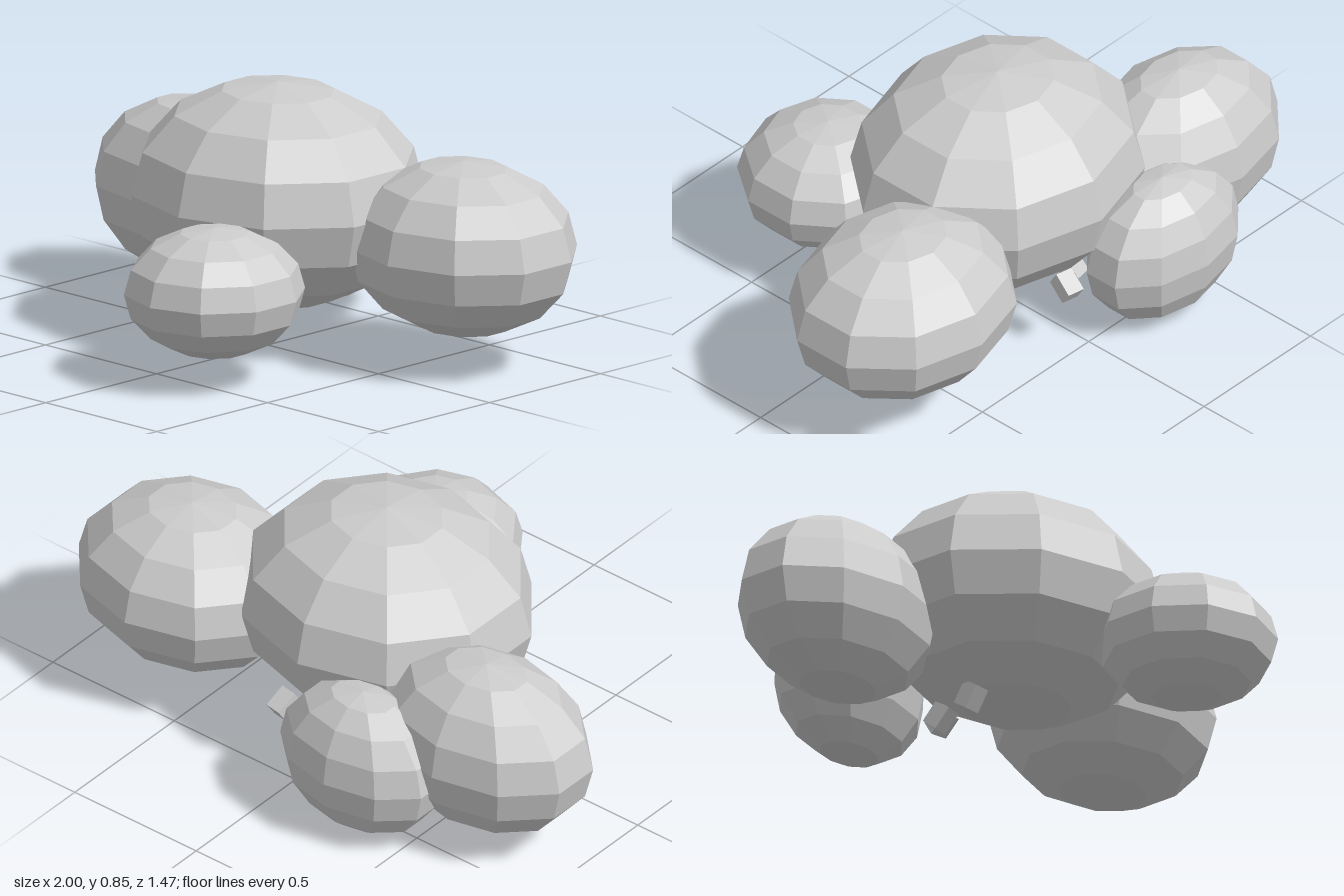
import * as THREE from 'three';

export function createModel() {
  const group = new THREE.Group();
  const material = new THREE.MeshStandardMaterial({ color: 0xcccccc, flatShading: true });

  // Faceted puffs: name, centre, radii
  const puffs = [
    ['mainPuff', [-0.03, 0.485, -0.078], [0.507, 0.365, 0.45]],
    ['rightPuff', [-0.63, 0.345, -0.31], [0.39, 0.295, 0.275]],
    ['leftPuff', [0.618, 0.392, -0.264], [0.402, 0.283, 0.342]],
    ['frontPuff', [0.203, 0.3, 0.442], [0.293, 0.21, 0.292]],
    ['backPuff', [-0.307, 0.254, -0.537], [0.305, 0.254, 0.198]],
  ];
  // Ten-sided ball with a corner facing front and back
  const ball = new THREE.SphereGeometry(1, 10, 8).rotateY(Math.PI / 2);
  for (const [name, centre, radii] of puffs) {
    const mesh = new THREE.Mesh(ball, material);
    mesh.name = name;
    mesh.position.set(...centre);
    mesh.scale.set(...radii);
    group.add(mesh);
  }

  // Small stubs poking out of the underside: centre, outward direction
  const stubs = [
    [[0.07, 0.25, -0.47], [0.15, -0.55, -0.8]],
    [[-0.1, 0.16, -0.33], [-0.1, -0.75, -0.6]],
    [[-0.215, 0.125, -0.105], [0, -0.84, -0.54]],
  ];
  const stubGeometry = new THREE.BoxGeometry(0.06, 0.06, 0.08);
  stubs.forEach(([centre, direction], i) => {
    const mesh = new THREE.Mesh(stubGeometry, material);
    mesh.name = `stub${i + 1}`;
    mesh.position.set(...centre);
    mesh.lookAt(new THREE.Vector3(...direction).add(mesh.position));
    group.add(mesh);
  });

  return group;
}
